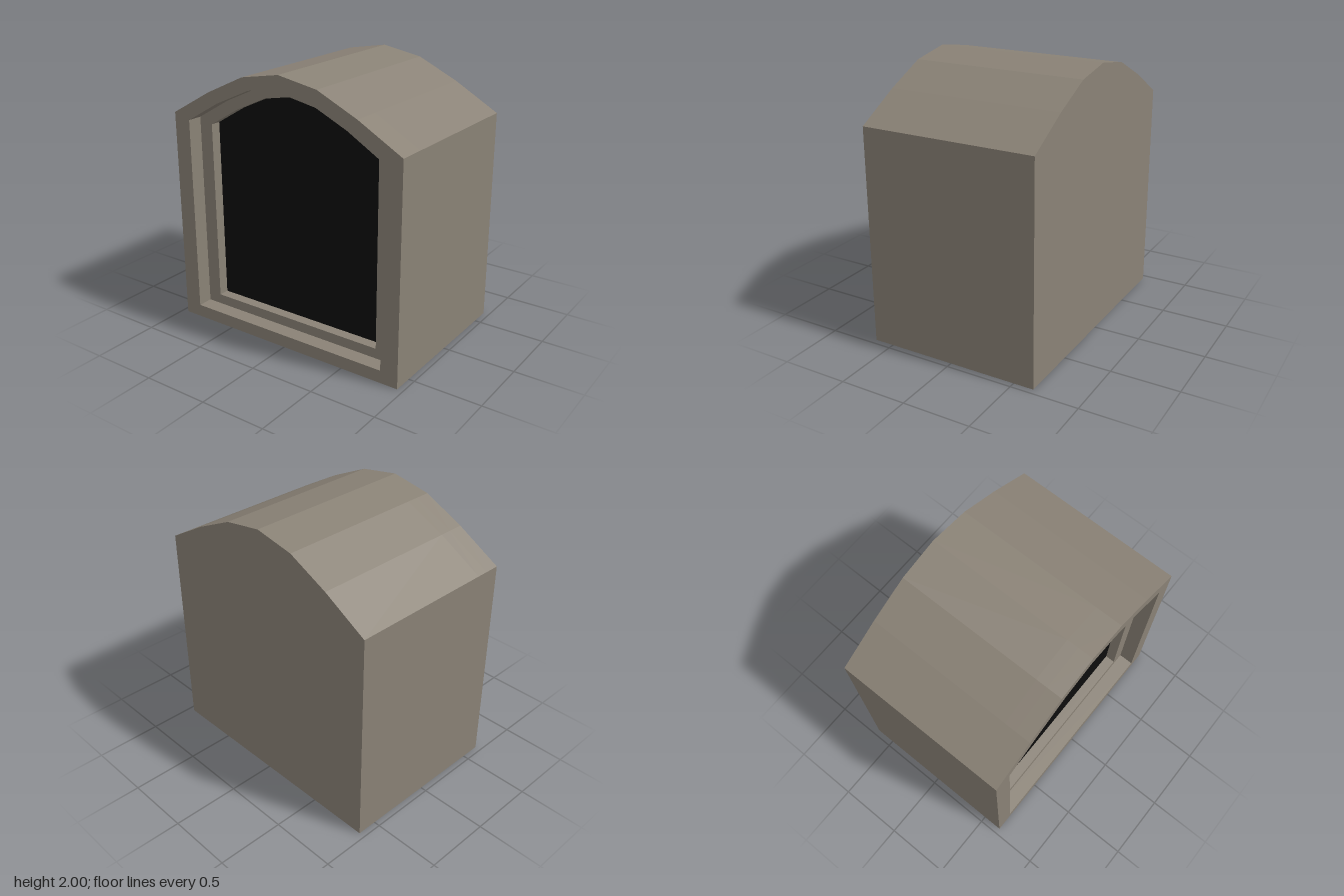
import * as THREE from 'three';

// Arched outline: right-hand points from base to crown, mirrored to the left
function outline(bottom, half, crown) {
  const right = [[half[0][0], bottom], ...half];
  const left = right.map(([x, y]) => [-x, y]).reverse();
  return [...right, [0, crown], ...left].map(([x, y]) => new THREE.Vector2(x, y));
}

const OUTER = outline(0, [[0.955, 1.61], [0.62, 1.8], [0.31, 1.945]], 2);
const MIDDLE = outline(0.095, [[0.82, 1.57], [0.545, 1.73], [0.26, 1.86]], 1.91);
const INNER = outline(0.17, [[0.71, 1.53], [0.465, 1.675], [0.215, 1.79]], 1.83);

// Slab between two z positions, with an optional opening through it
function slab(name, points, hole, z0, z1, material) {
  const shape = new THREE.Shape(points);
  if (hole) shape.holes.push(new THREE.Path(hole));
  const geometry = new THREE.ExtrudeGeometry(shape, { depth: z1 - z0, bevelEnabled: false });
  geometry.translate(0, 0, z0);
  const mesh = new THREE.Mesh(geometry, material);
  mesh.name = name;
  return mesh;
}

export function createModel() {
  const stone = new THREE.MeshStandardMaterial({ name: 'stone', color: 0x8a8276 });
  const dark = new THREE.MeshStandardMaterial({ name: 'darkOpening', color: 0x0d0d0d });

  const model = new THREE.Group();
  model.name = 'archedAlcove';
  model.add(
    // Solid block behind the opening
    slab('body', OUTER, null, -0.65, 0.45, stone),
    // Two stepped frames around the opening
    slab('innerFrame', OUTER, INNER, 0.45, 0.535, stone),
    slab('outerFrame', OUTER, MIDDLE, 0.535, 0.65, stone),
    // Dark panel at the back of the recess
    slab('opening', INNER, null, 0.45, 0.457, dark),
  );
  return model;
}
